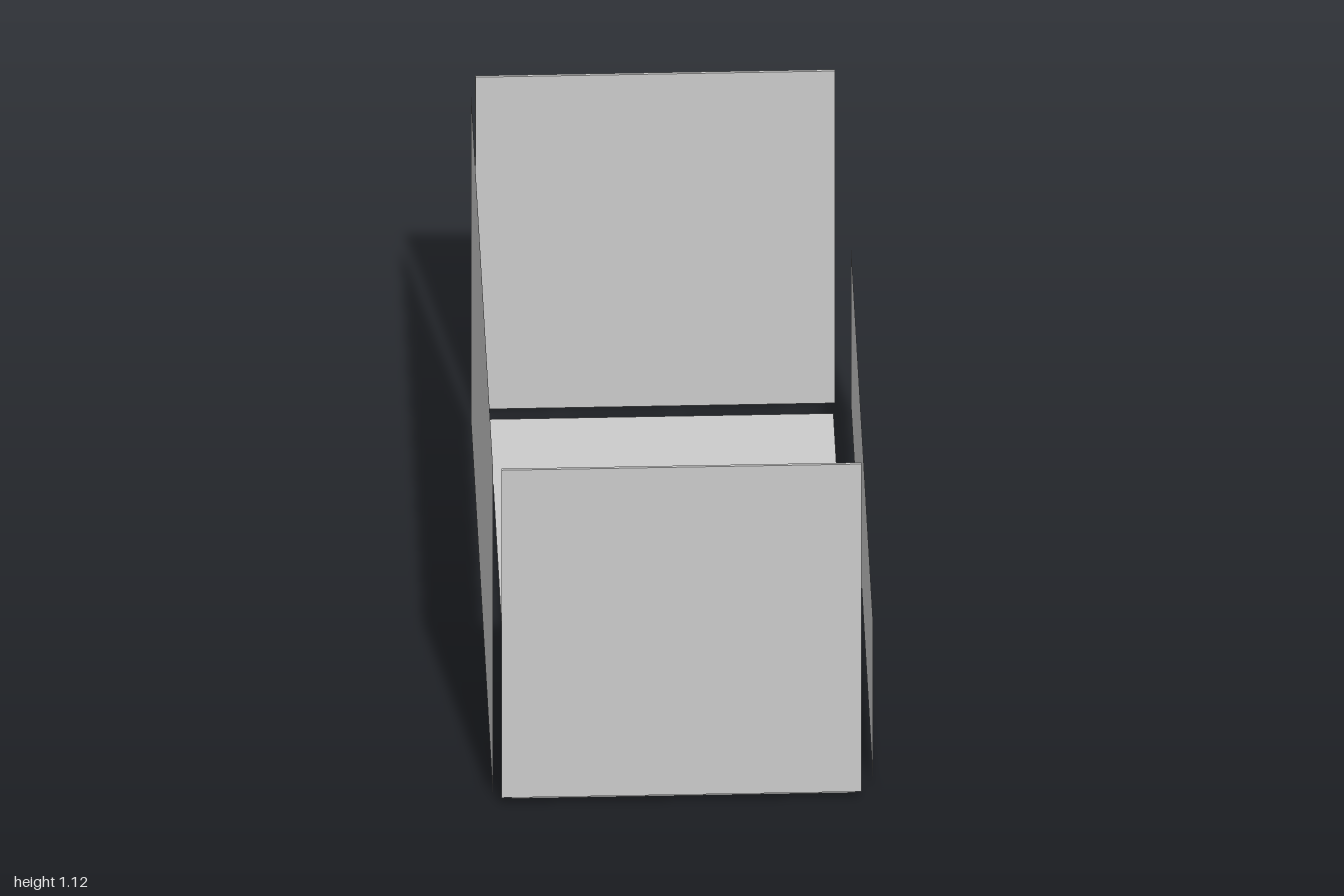
import * as THREE from 'three';

export function createModel() {
  const group = new THREE.Group();
  const solid = new THREE.MeshStandardMaterial({ color: 0xcccccc });
  const sheet = new THREE.MeshStandardMaterial({ color: 0xcccccc, side: THREE.DoubleSide });

  // Thin slab spanning the given ranges
  function slab(name, [x0, x1], [y0, y1], [z0, z1]) {
    const mesh = new THREE.Mesh(new THREE.BoxGeometry(x1 - x0, y1 - y0, z1 - z0), solid);
    mesh.position.set((x0 + x1) / 2, (y0 + y1) / 2, (z0 + z1) / 2);
    mesh.name = name;
    group.add(mesh);
  }

  // Upright sheet without thickness, facing sideways at x
  function sideSheet(name, x, [y0, y1], [z0, z1]) {
    const geometry = new THREE.PlaneGeometry(z1 - z0, y1 - y0);
    geometry.rotateY(Math.sign(x) * Math.PI / 2);
    const mesh = new THREE.Mesh(geometry, sheet);
    mesh.position.set(x, (y0 + y1) / 2, (z0 + z1) / 2);
    mesh.name = name;
    group.add(mesh);
  }

  // Floor and the two end walls
  slab('floorPanel', [-0.476, 0.476], [0, 0.008], [-0.96, 0.96]);
  slab('frontPanel', [-0.505, 0.491], [0.029, 1.108], [0.992, 1]);
  slab('backPanel', [-0.514, 0.482], [0.021, 1.115], [-1, -0.992]);

  // Low wall on the left, full-height wall on the right
  sideSheet('lowLeftPanel', 0.525, [0.027, 0.553], [-0.975, 0.961]);
  sideSheet('tallRightPanel', -0.528, [0.024, 1.105], [-0.947, 0.972]);

  return group;
}
